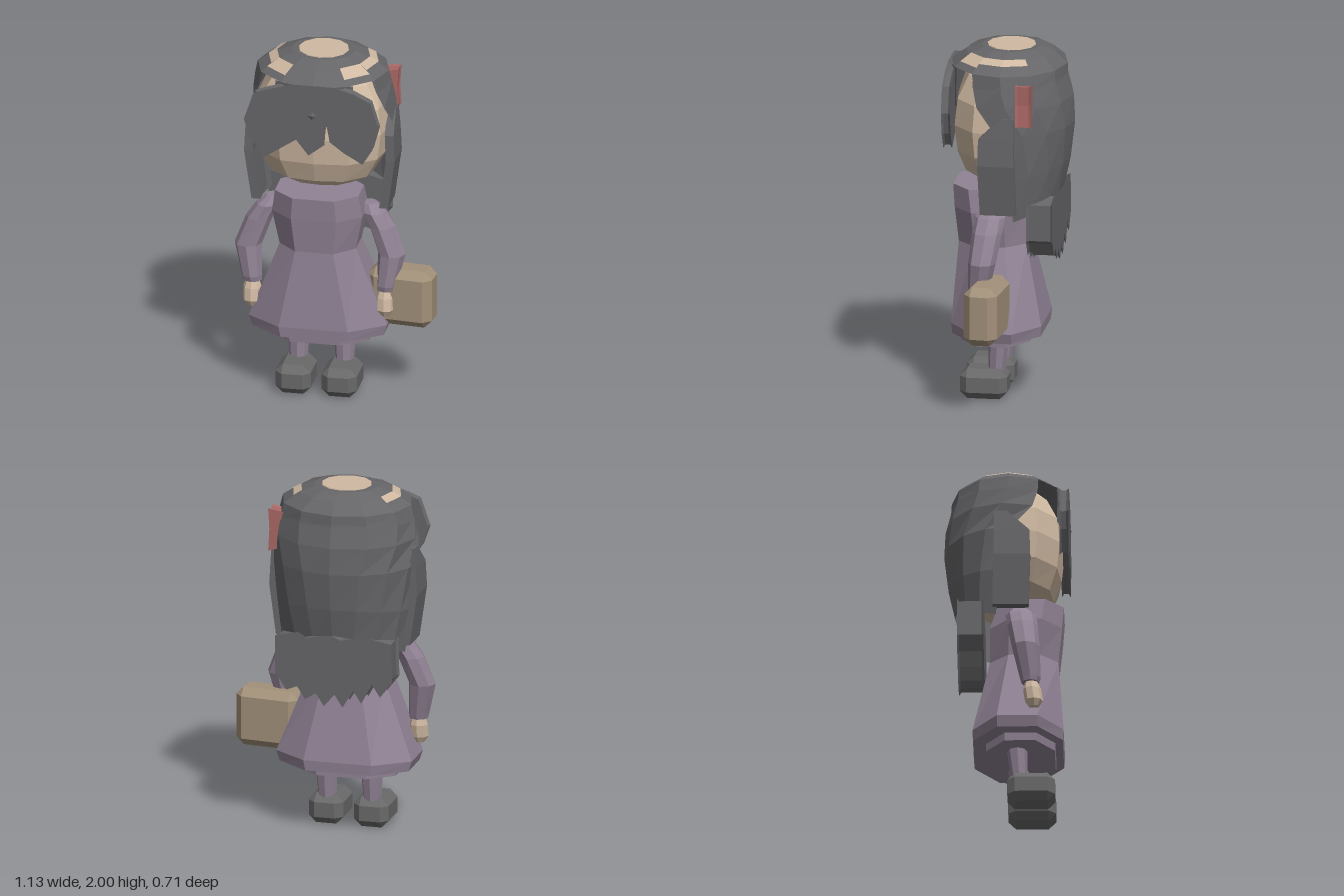
import * as THREE from 'three';

const mat = (name, color) => {
  const m = new THREE.MeshStandardMaterial({ color, flatShading: true, side: THREE.DoubleSide });
  m.name = name;
  return m;
};

// Skin stretched over rings of points, listed from bottom to top
function loft(rings, { closed = true, caps = true } = {}) {
  const pos = [], n = rings[0].length;
  const tri = (...ps) => ps.forEach((p) => pos.push(...p));
  for (let i = 0; i < rings.length - 1; i++) {
    for (let j = 0; j < (closed ? n : n - 1); j++) {
      const k = (j + 1) % n, a = rings[i], b = rings[i + 1];
      tri(a[j], a[k], b[k]);
      tri(a[j], b[k], b[j]);
    }
  }
  if (caps) {
    const lo = rings[0], hi = rings[rings.length - 1];
    for (let j = 1; j < n - 1; j++) {
      tri(lo[0], lo[j + 1], lo[j]);
      tri(hi[0], hi[j], hi[j + 1]);
    }
  }
  const g = new THREE.BufferGeometry();
  g.setAttribute('position', new THREE.Float32BufferAttribute(pos, 3));
  g.computeVertexNormals();
  return g;
}
const SHEET = { closed: false, caps: false };

// Elliptical arc of points at height y; angles in degrees measured from the front
function arc(y, rx, rz, cz = 0, cx = 0, sides = 12, from = 0, to = 360) {
  const count = to - from >= 360 ? sides : sides + 1;
  return Array.from({ length: count }, (_, i) => {
    const a = THREE.MathUtils.degToRad(from + ((to - from) * i) / sides);
    return [cx + rx * Math.sin(a), y, cz + rz * Math.cos(a)];
  });
}

// Fuller cheeks: squares off the front half of an arc centred on the axis
const cheeks = (points, rx, rz) => points.map(([x, y, z]) => {
  const f = z > 0.001 ? (Math.abs(x / rx) ** 2.7 + Math.abs(z / rz) ** 2.7) ** (-1 / 2.7) : 1;
  return [x * f, y, z * f];
});

// Eight-cornered dress outline with broad front, back and sides
const octagon = (y, rx, zf, zb) => {
  const c = (zf + zb) / 2, r = (zf - zb) / 2;
  return [[-0.5, 1], [0.5, 1], [1, 0.45], [1, -0.45], [0.5, -1], [-0.5, -1], [-1, -0.45], [-1, 0.45]]
    .map(([u, v]) => [u * rx, y, c + v * r]);
};

// Box with every edge cut off at width c
function chamferBox(w, h, d, c) {
  const ring = (y, e) => {
    const x = w / 2 - c, z = d / 2 - c;
    return [[-x, z + e], [x, z + e], [x + e, z], [x + e, -z], [x, -z - e], [-x, -z - e], [-x - e, -z], [-x - e, z]]
      .map(([u, v]) => [u, y, v]);
  };
  return loft([ring(-h / 2, 0), ring(c - h / 2, c), ring(h / 2 - c, c), ring(h / 2, 0)]);
}

// Slab from an outline in x and y, pinched between its two faces
function slab(points, z0, z1, pinch = 0.013) {
  const t = 0.012;
  const shape = new THREE.Shape(points.map(([x, y]) => new THREE.Vector2(x, y)));
  const g = new THREE.ExtrudeGeometry(shape, {
    depth: z1 - z0 - 2 * t, bevelThickness: t, bevelSize: -pinch, bevelSegments: 1,
  });
  return g.translate(0, 0, z0 + t);
}

export function createModel() {
  const skin = mat('skin', 0xcfb9a2);
  const hair = mat('hair', 0x666568);
  const dress = mat('dress', 0x918395);
  const leather = mat('case leather', 0xa29079);
  const red = mat('bow red', 0xaa6866);
  const shoeGrey = mat('shoe grey', 0x696969);

  const model = new THREE.Group();
  const figure = new THREE.Group();
  figure.name = 'figure';
  figure.position.x = -0.08;
  model.add(figure);
  const add = (name, geometry, material) => {
    const m = new THREE.Mesh(geometry, material);
    m.name = name;
    figure.add(m);
    return m;
  };

  // Head, reaching up to the bare crown
  add('head', loft([
    ...[[1.24, 0.19, 0.16], [1.3, 0.29, 0.25], [1.42, 0.36, 0.295], [1.57, 0.38, 0.312], [1.72, 0.365, 0.295]]
      .map(([y, rx, rz]) => cheeks(arc(y, rx, rz), rx, rz)),
    arc(1.85, 0.31, 0.25), arc(1.95, 0.16, 0.15), arc(2.0, 0.14, 0.135),
  ]), skin);

  // Hair cap, open at the crown, with a panel down the forehead
  add('hairCrown', loft([
    arc(1.9, 0.37, 0.325, 0.012), arc(1.96, 0.28, 0.25, 0.005),
    arc(1.995, 0.18, 0.165), arc(1.995, 0.138, 0.133),
  ], { caps: false }), hair);
  add('hairBand', loft([
    arc(1.82, 0.388, 0.318, 0, 0, 8, 60, 300), arc(1.9, 0.37, 0.325, 0.012, 0, 8, 60, 300),
  ], SHEET), hair);
  add('foreheadHair', loft([
    cheeks(arc(1.68, 0.38, 0.31, 0, 0, 4, -36, 36), 0.38, 0.312),
    cheeks(arc(1.8, 0.36, 0.315, 0, 0, 4, -36, 36), 0.36, 0.315),
    arc(1.9, 0.37, 0.325, 0.012, 0, 4, -36, 36),
  ], SHEET), hair);

  // Bare patches where the scalp shows through the cap
  for (const s of [0, 1]) {
    for (const [from, to, outer, inner] of [[30, 60, 0.335, 0.262], [60, 120, 0.31, 0.262]]) {
      const edge = (r) => {
        const y = r > 0.28 ? 1.9 + (0.37 - r) * 0.667 : 1.96 + (0.28 - r) * 0.35;
        const span = s ? [360 - to, 360 - from] : [from, to];
        return arc(y + 0.005, r, r * 0.885, 0.006, 0, (to - from) / 30, ...span);
      };
      add('scalpPatch', loft([edge(outer), edge(inner)], SHEET), skin);
    }
  }

  // Long hair wrapping the sides and back: height, radii, front edge angle, side droop
  add('backHair', loft([
    [1.2, 0.36, 0.295, 102, 0.14], [1.36, 0.395, 0.33, 96, 0.04], [1.57, 0.41, 0.355, 86, 0],
    [1.72, 0.405, 0.348, 66, 0], [1.83, 0.385, 0.32, 58, 0], [1.9, 0.365, 0.305, 56, 0],
  ].map(([y, rx, rz, edge, droop]) => arc(y, rx, rz, 0, 0, 8, edge, 360 - edge)
    .map(([x, h, z]) => [x, h - droop * Math.min(1, Math.abs(x / rx)) ** 2, z])), SHEET), hair);

  // Side locks hanging in front of the shoulders
  for (const s of [-1, 1]) {
    const box = (y, x, zf, zb, w = 0.05) =>
      [[x, zf], [x, zb], [x - w, zb], [x - w, zf]].map(([u, z]) => [s * u, y, z]);
    const rings = [
      box(1.11, 0.385, 0.12, -0.08), box(1.4, 0.425, 0.13, -0.075),
      box(1.55, 0.418, 0.125, -0.07), box(1.67, 0.408, 0.0, -0.07),
    ];
    add(s < 0 ? 'rightLock' : 'leftLock', loft(s < 0 ? rings.map((r) => r.reverse()) : rings), hair);
  }

  // Fringe covering the eyes
  add('fringe', slab([
    [-0.385, 1.68], [-0.35, 1.58], [-0.27, 1.46], [-0.09, 1.58], [-0.02, 1.49], [0.07, 1.56], [0.08, 1.69],
    [0.1, 1.58], [0.18, 1.52], [0.285, 1.46], [0.34, 1.55], [0.375, 1.68], [0.33, 1.83], [0.23, 1.88],
    [0.11, 1.91], [-0.11, 1.91], [-0.25, 1.87], [-0.33, 1.84],
  ], 0.29, 0.34), hair);
  const stud = add('fringePoint', new THREE.OctahedronGeometry(0.035), hair);
  stud.position.set(0, 1.73, 0.335);
  stud.scale.z = 0.45;

  // Ragged lower hair behind the back
  const ends = [[-0.335, 1.17], [-0.34, 0.95]];
  for (let i = 0; i < 6; i++) {
    const x = -0.27 + i * 0.108, low = 0.775 + 0.6 * Math.abs(x) ** 1.5;
    ends.push([x, low], [x + 0.045, low + 0.07]);
  }
  ends.push([0.335, 0.95], [0.335, 1.17], [0.2, 1.2], [0.15, 1.17], [0.02, 1.2], [-0.04, 1.17], [-0.18, 1.2]);
  add('lowerHair', slab(ends, -0.278, -0.13), hair);

  // Bow on the left of the hair
  add('bow', slab([
    [0.31, 1.85], [0.32, 1.75], [0.31, 1.65], [0.405, 1.62], [0.398, 1.75], [0.405, 1.865],
  ], -0.167, -0.08, 0.006), red);

  // Dress and underskirt
  add('dress', loft([
    octagon(0.37, 0.37, 0.305, -0.19), octagon(0.43, 0.39, 0.31, -0.195), octagon(0.88, 0.215, 0.28, -0.1),
    octagon(1.08, 0.255, 0.3, -0.1), octagon(1.21, 0.235, 0.31, -0.06),
  ]), dress);
  add('underskirt', loft([octagon(0.325, 0.285, 0.26, -0.12), octagon(0.38, 0.29, 0.265, -0.12)]), dress);

  // Arms, hands, legs and shoes
  for (const s of [-1, 1]) {
    const side = s < 0 ? 'right' : 'left';
    add(side + 'Arm', loft([
      arc(0.63, 0.054, 0.05, 0.13, s * 0.377, 8), arc(0.66, 0.058, 0.058, 0.13, s * 0.38, 8),
      arc(0.84, 0.077, 0.077, 0.105, s * 0.405, 8), arc(1.0, 0.075, 0.085, 0.085, s * 0.345, 8),
      arc(1.08, 0.065, 0.085, 0.075, s * 0.3, 8), arc(1.125, 0.035, 0.045, 0.07, s * 0.275, 8),
    ]), dress);
    add(side + 'Hand', loft([
      arc(0.485, 0.03, 0.028, 0.15, s * 0.375, 8), arc(0.52, 0.052, 0.05, 0.15, s * 0.375, 8),
      arc(0.59, 0.052, 0.05, 0.14, s * 0.375, 8), arc(0.64, 0.035, 0.035, 0.135, s * 0.375, 8),
    ]), skin);
    add(side + 'Leg', loft([
      arc(0.14, 0.05, 0.045, 0.065, s * 0.13, 8), arc(0.36, 0.066, 0.06, 0.05, s * 0.13, 8),
    ]), dress);
    add(side + 'Shoe', chamferBox(0.2, 0.17, 0.265, 0.042), shoeGrey).position.set(s * 0.13, 0.085, 0.13);
  }

  // Travel case held in the left hand
  const travelCase = add('case', chamferBox(0.37, 0.335, 0.19, 0.045), leather);
  travelCase.position.set(0.458, 0.585, 0.07);
  travelCase.rotation.y = -0.1;

  return model;
}
